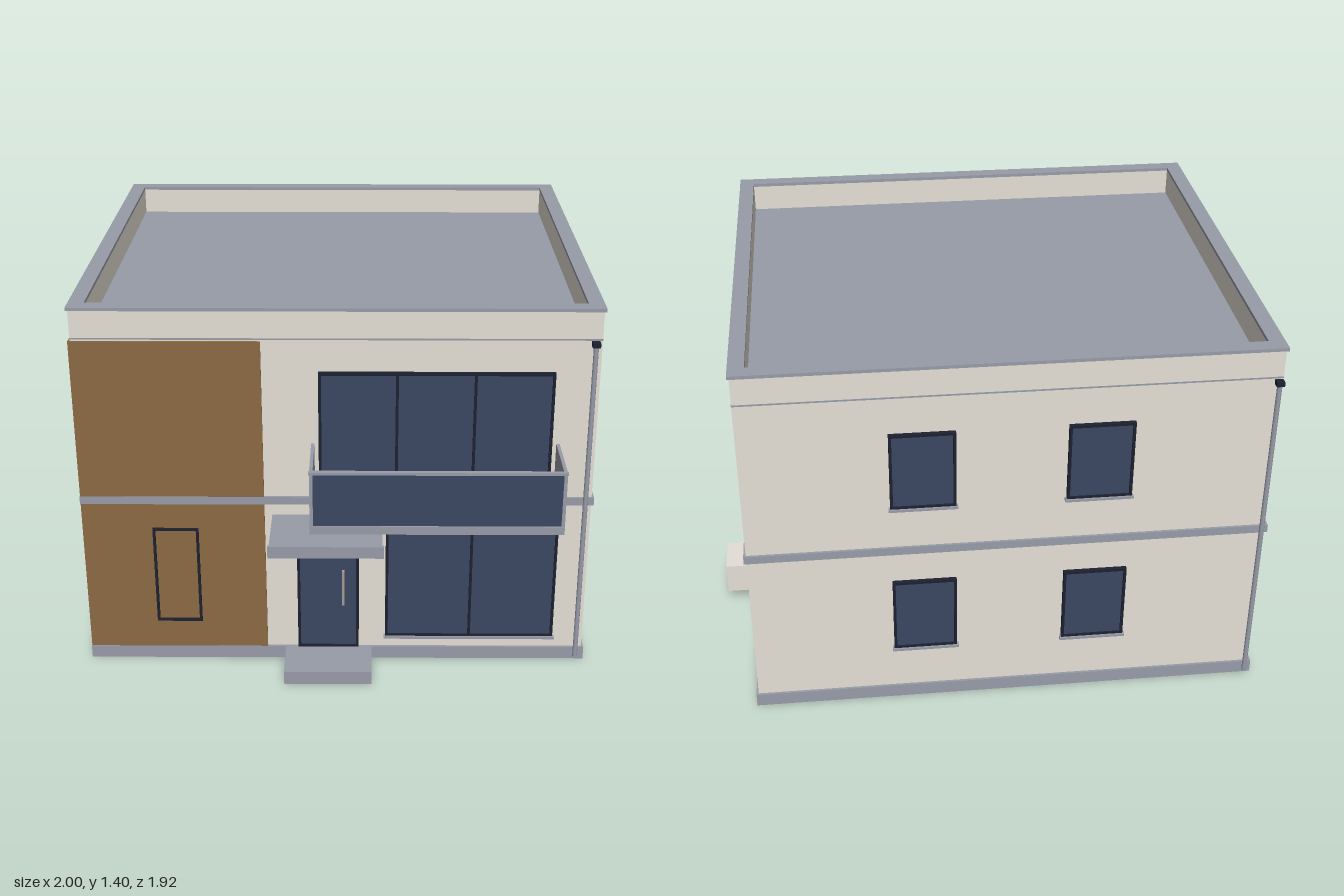
import * as THREE from 'three';

const mat = (name, hex) => {
  const m = new THREE.MeshStandardMaterial({ color: hex });
  m.name = name;
  return m;
};

export function createModel() {
  const house = new THREE.Group();
  house.name = 'house';
  const wall = mat('plaster', 0xe5dfd5);
  const trim = mat('grey concrete', 0x989ca8);
  const wood = mat('brown cladding', 0x8c6a44);
  const glass = mat('blue glass', 0x3a4661);
  const dark = mat('dark frame', 0x1d2030);
  const metal = mat('handle metal', 0xa39c90);

  // Box given by its limits on each axis
  const box = (name, m, x0, x1, y0, y1, z0, z1, parent = house) => {
    const mesh = new THREE.Mesh(new THREE.BoxGeometry(x1 - x0, y1 - y0, z1 - z0), m);
    mesh.position.set((x0 + x1) / 2, (y0 + y1) / 2, (z0 + z1) / 2);
    mesh.name = name;
    parent.add(mesh);
    return mesh;
  };

  // Rectangular ring lying flat, from y0 to y1
  const ring = (name, m, [x0, x1, z0, z1], [a0, a1, b0, b1], y0, y1) => {
    const rect = (C, l, r, n, f) => {
      const s = new C();
      s.moveTo(l, -f); s.lineTo(r, -f); s.lineTo(r, -n); s.lineTo(l, -n); s.closePath();
      return s;
    };
    const shape = rect(THREE.Shape, x0, x1, z0, z1);
    shape.holes.push(rect(THREE.Path, a0, a1, b0, b1));
    const geo = new THREE.ExtrudeGeometry(shape, { depth: y1 - y0, bevelEnabled: false });
    geo.rotateX(-Math.PI / 2);
    const mesh = new THREE.Mesh(geo, m);
    mesh.position.y = y0;
    mesh.name = name;
    house.add(mesh);
  };

  // Slab that is hollow underneath: a thin top with a skirt around it
  const hollowSlab = (name, x0, x1, z0, z1, h) => {
    const t = 0.003;
    box(name + 'Top', trim, x0, x1, h - t, h, z0, z1);
    ring(name + 'Skirt', trim, [x0, x1, z0, z1], [x0 + t, x1 - t, z0 + t, z1 - t], 0, h - t);
  };

  // Framed opening facing +z, bottom centre at the origin
  const framed = (name, w, h, { bars = [], sill = false, pane = true, t = 0.01 } = {}) => {
    const g = new THREE.Group();
    g.name = name;
    const d = 0.015;
    if (pane) box('glass', glass, -w / 2 + t, w / 2 - t, t, h - t, 0, 0.008, g);
    for (const s of [-1, 1]) {
      const x = s * (w - t) / 2;
      box('frameSide', dark, x - t / 2, x + t / 2, 0, h, 0, d, g);
    }
    box('frameTop', dark, -w / 2 + t, w / 2 - t, h - t, h, 0, d, g);
    box('frameBottom', dark, -w / 2 + t, w / 2 - t, 0, t, 0, d, g);
    for (const b of bars) box('mullion', dark, b - 0.005, b + 0.005, t, h - t, 0, 0.013, g);
    if (sill) box('sill', trim, -w / 2 - 0.006, w / 2 + 0.006, -0.006, 0.003, 0, 0.022, g);
    house.add(g);
    return g;
  };

  // Main body, plinth and floor band
  box('walls', wall, -0.976, 0.864, 0.05, 1.282, -0.933, 0.704);
  hollowSlab('plinth', -0.985, 0.872, -0.942, 0.713, 0.05);
  box('floorBand', trim, -0.985, 0.872, 0.65, 0.68, -0.942, 0.714);

  // Roof with parapet
  box('roofSlab', trim, -0.977, 0.865, 1.282, 1.288, -0.934, 0.705);
  const inner = [-0.926, 0.815, -0.885, 0.657];
  ring('parapet', wall, [-0.976, 0.864, -0.933, 0.704], inner, 1.288, 1.388);
  ring('parapetCap', trim, [-0.983, 0.871, -0.94, 0.711], inner, 1.388, 1.4);

  // Timber cladding wrapping the front corner
  box('frontCladding', wood, -0.983, -0.318, 0.05, 1.277, 0.704, 0.712);
  box('sideCladding', wood, -0.983, -0.976, 0.05, 1.277, 0.45, 0.704);

  // Windows on the sides and back, two floors
  for (const y of [0.231, 0.846]) {
    for (const z of [0.161, -0.387]) {
      const r = framed('rightWindow', 0.228, 0.3, { sill: true });
      r.position.set(0.864, y, z);
      r.rotation.y = Math.PI / 2;
      const l = framed('leftWindow', 0.228, 0.3, { sill: true });
      l.position.set(-0.976, y, z);
      l.rotation.y = -Math.PI / 2;
    }
    for (const x of [-0.367, 0.245]) {
      const b = framed('backWindow', 0.228, 0.3, { sill: true });
      b.position.set(x, y, -0.933);
      b.rotation.y = Math.PI;
    }
  }

  // Front windows
  framed('balconyWindow', 0.828, 0.485, { bars: [-0.137, 0.137] }).position.set(0.295, 0.68, 0.704);
  framed('livingWindow', 0.628, 0.455, { bars: [0], sill: true }).position.set(0.437, 0.098, 0.704);
  framed('slimWindow', 0.168, 0.39, { pane: false }).position.set(-0.644, 0.163, 0.704);

  // Front door with transom and handle
  const door = framed('door', 0.227, 0.483);
  door.position.set(-0.089, 0.05, 0.704);
  box('transomBar', dark, -0.103, 0.103, 0.41, 0.421, 0, 0.014, door);
  box('handle', metal, 0.051, 0.061, 0.188, 0.33, 0.008, 0.024, door);
  box('doorLamp', wall, -0.259, -0.233, 0.441, 0.485, 0.704, 0.72);

  // Canopy and entrance step
  box('canopy', trim, -0.29, 0.108, 0.575, 0.605, 0.704, 0.95);
  box('canopyLip', trim, -0.294, 0.112, 0.566, 0.611, 0.948, 0.96);
  hollowSlab('step', -0.249, 0.072, 0.713, 0.89, 0.052);

  // Balcony: slab, side walls, glazed front and rail
  box('balconySlab', trim, -0.146, 0.737, 0.654, 0.685, 0.704, 0.947);
  for (const x of [-0.146, 0.725]) box('balconySide', trim, x, x + 0.012, 0.685, 0.89, 0.704, 0.945);
  box('balconyGlass', glass, -0.134, 0.725, 0.685, 0.882, 0.934, 0.942);
  box('balconyRail', trim, -0.148, 0.739, 0.882, 0.892, 0.931, 0.948);

  // Downpipes at opposite corners
  for (const [x, z] of [[0.84, 0.722], [-0.96, -0.951]]) {
    const pipe = new THREE.Mesh(new THREE.CylinderGeometry(0.009, 0.009, 1.25, 12), trim);
    pipe.name = 'downpipe';
    pipe.position.set(x, 0.642, z);
    house.add(pipe);
    box('pipeHead', dark, x - 0.014, x + 0.014, 1.265, 1.282, z - 0.013, z + 0.013);
  }

  // Air conditioner on the right wall
  box('airConditioner', wall, 0.864, 0.995, 0.053, 0.175, -0.318, -0.158);
  const fan = new THREE.Mesh(new THREE.CylinderGeometry(0.04, 0.04, 0.004, 24), dark);
  fan.name = 'fan';
  fan.rotation.z = Math.PI / 2;
  fan.position.set(0.995, 0.113, -0.235);
  house.add(fan);

  return house;
}
